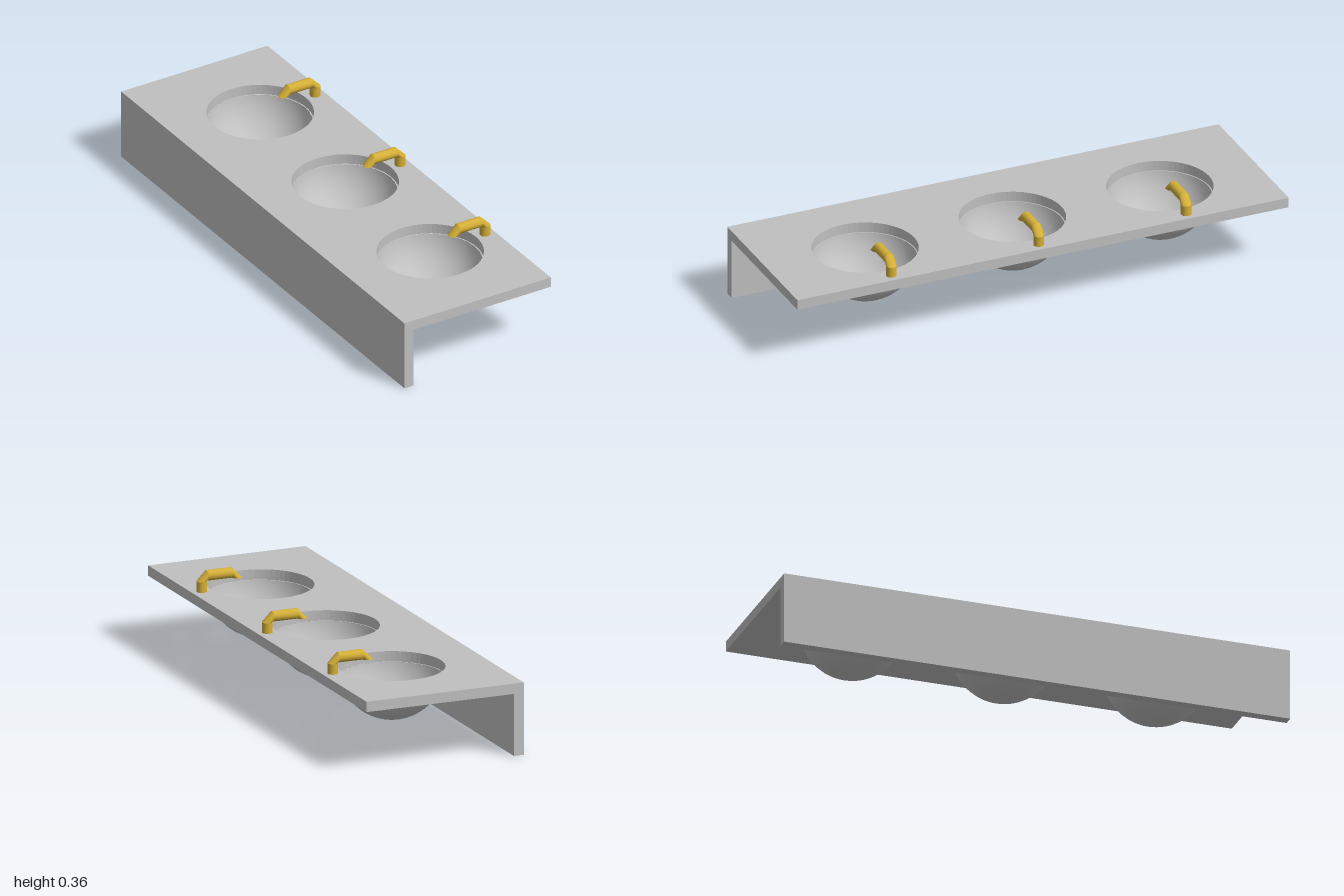
import * as THREE from 'three';
import { mergeGeometries } from 'three/addons/utils/BufferGeometryUtils.js';

const steel = new THREE.MeshStandardMaterial({ color: 0xc0c0c0, side: THREE.DoubleSide });
steel.name = 'steel';
const brass = new THREE.MeshStandardMaterial({ color: 0xd4af37 });
brass.name = 'brass';

const BASINS = [-0.6, 0, 0.6]; // z of each basin
const BASIN_X = 0.04, R = 0.2, TOP = 0.28, THICK = 0.04;

function part(name, geometry, material, x = 0, y = 0, z = 0) {
  const mesh = new THREE.Mesh(geometry, material);
  mesh.name = name;
  mesh.position.set(x, y, z);
  return mesh;
}

// Counter slab with a round hole for each basin
function counterGeometry() {
  const shape = new THREE.Shape([[-0.32, -1], [0.32, -1], [0.32, 1], [-0.32, 1]]
    .map(([x, y]) => new THREE.Vector2(x, y)));
  for (const z of BASINS) shape.holes.push(new THREE.Path().absarc(BASIN_X, z, R, 0, Math.PI * 2, true));
  return new THREE.ExtrudeGeometry(shape, { depth: THICK, bevelEnabled: false, curveSegments: 32 })
    .rotateX(-Math.PI / 2);
}

// Spout: round sections [x, y, outward x, outward y] joined by mitred pieces
function faucetGeometry() {
  const r = 0.02;
  const sections = [
    [0.28, 0.28, 1, 0], [0.28, 0.32, 1, 0], [0.26, 0.34, 0, 1],
    [0.16, 0.34, 0, 1], [0.14, 0.32, -1, 0],
  ];
  const pieces = [];
  for (let i = 0; i < sections.length - 1; i++) {
    const piece = new THREE.CylinderGeometry(r, r, 1, 20, 1, true);
    const p = piece.attributes.position;
    for (let k = 0; k < p.count; k++) {
      const [cx, cy, dx, dy] = sections[p.getY(k) > 0 ? i + 1 : i];
      const out = p.getX(k);
      p.setXYZ(k, cx + dx * out, cy + dy * out, p.getZ(k));
    }
    piece.computeVertexNormals();
    pieces.push(piece);
  }
  // Flat mouth of the spout, facing down
  pieces.push(new THREE.CircleGeometry(r, 20).rotateX(Math.PI / 2).translate(0.14, 0.32, 0));
  return mergeGeometries(pieces);
}

export function createModel() {
  const model = new THREE.Group();
  model.name = 'tripleWashbasin';

  model.add(part('counter', counterGeometry(), steel, 0, TOP - THICK, 0));
  model.add(part('apron', new THREE.BoxGeometry(0.04, TOP - THICK, 2), steel, -0.3, (TOP - THICK) / 2, 0));

  // Bowl is the part of a sphere hanging below the slab
  const start = Math.acos(-THICK / R);
  const bowl = new THREE.SphereGeometry(R, 32, 14, 0, Math.PI * 2, start, Math.PI - start);
  const rim = new THREE.RingGeometry(R * Math.sin(start), R, 48).rotateX(-Math.PI / 2);
  const faucet = faucetGeometry();

  for (const z of BASINS) {
    const basin = new THREE.Group();
    basin.name = 'basin';
    basin.position.z = z;
    basin.add(part('bowl', bowl, steel, BASIN_X, TOP, 0));
    basin.add(part('bowlRim', rim, steel, BASIN_X, TOP - THICK, 0));
    basin.add(part('faucet', faucet, brass));
    model.add(basin);
  }
  return model;
}
